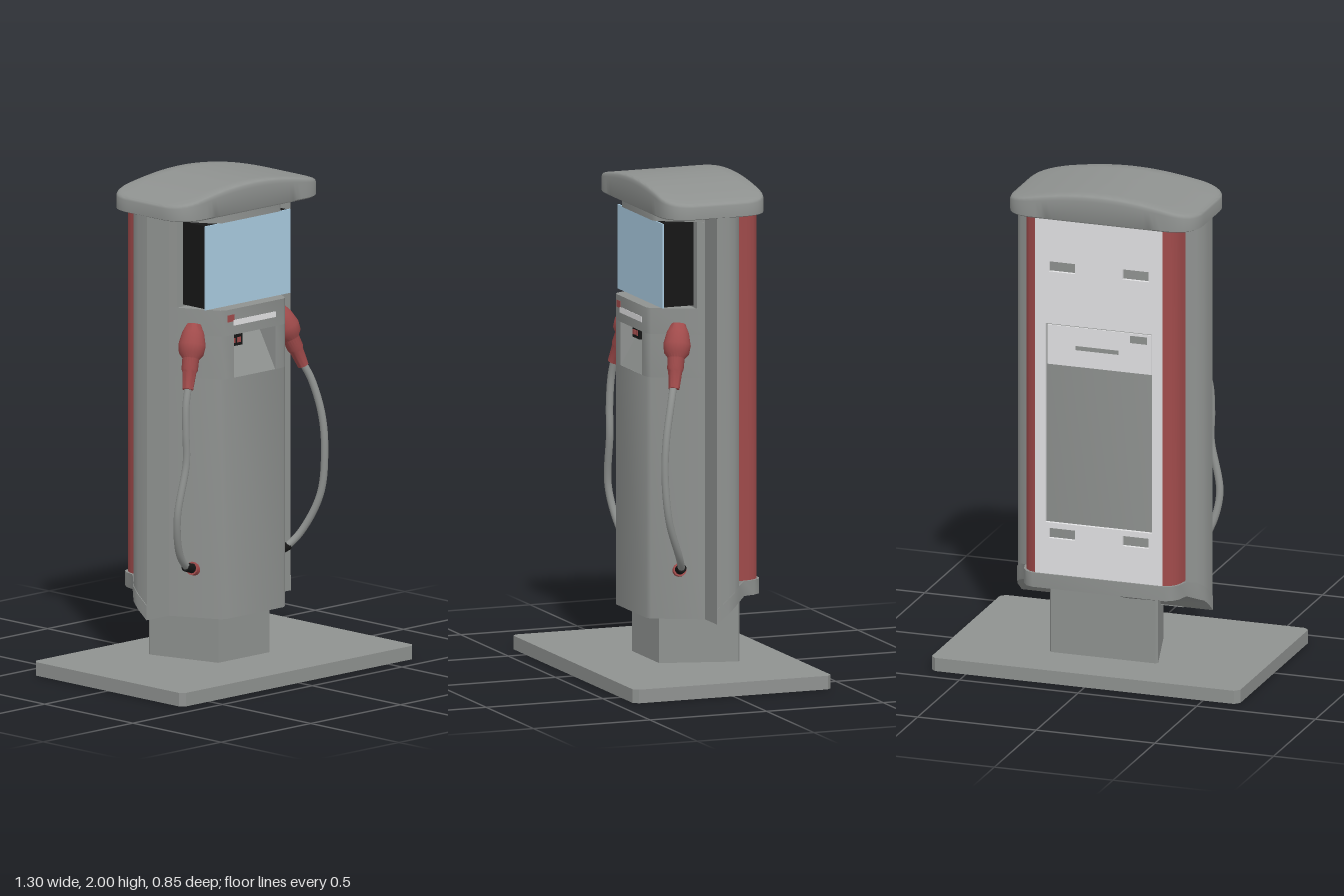
import * as THREE from 'three';
import { toCreasedNormals } from 'three/addons/utils/BufferGeometryUtils.js';

const mat = (name, color) => Object.assign(new THREE.MeshStandardMaterial({ color }), { name });

// Mirror the +x half of an [x, z] outline into a closed loop
const mirror = half => [...half, ...half.slice().reverse().map(([x, z]) => [-x, z])];

// Upright prism over an [x, z] outline
function prism(outline, y0, y1, hole) {
  const pts = o => o.map(([x, z]) => new THREE.Vector2(x, -z));
  const shape = new THREE.Shape(pts(outline));
  if (hole) shape.holes.push(new THREE.Path(pts(hole)));
  const g = new THREE.ExtrudeGeometry(shape, { depth: y1 - y0, bevelEnabled: false });
  g.rotateX(-Math.PI / 2).translate(0, y0, 0);
  return toCreasedNormals(g, 0.6);
}

function rectPath(Type, x0, x1, y0, y1) {
  return new Type([[x0, y0], [x1, y0], [x1, y1], [x0, y1]].map(p => new THREE.Vector2(...p)));
}

const chamferRect = (a, b, c) => mirror([[a - c, b], [a, b - c], [a, c - b], [a - c, -b]]);

export function createModel() {
  const group = new THREE.Group();
  group.name = 'chargingStation';
  const gray = mat('bodyGray', 0x8f9290);
  const red = mat('trimRed', 0xa04b4b);
  const pale = mat('panelPale', 0xe2e2e4);
  const black = mat('black', 0x161616);
  const blue = mat('screenBlue', 0xaacbe0);

  const add = (name, geometry, material) => {
    const m = new THREE.Mesh(geometry, material);
    m.name = name;
    group.add(m);
    return m;
  };
  const box = (name, x0, x1, y0, y1, z0, z1, material) => add(name,
    new THREE.BoxGeometry(x1 - x0, y1 - y0, z1 - z0)
      .translate((x0 + x1) / 2, (y0 + y1) / 2, (z0 + z1) / 2), material);

  // Hollow base: top plate with a deep rim
  const baseOutline = chamferRect(0.65, 0.425, 0.02);
  add('basePlate', prism(baseOutline, 0.042, 0.055), gray);
  add('baseRim', prism(baseOutline, 0, 0.042, chamferRect(0.638, 0.413, 0.015)), gray);

  // Tapering pedestal and its opening in the underside
  const pedestal = mirror([[0.143, 0.113], [0.228, -0.19], [0.22, -0.2]]);
  add('pedestal', prism(pedestal, 0.05, 0.36), gray);
  add('pedestalOpening', prism(pedestal, 0.039, 0.0425), black);

  // Rear body, its lower edge stepping up toward the back
  const bodyHalf = [[0.4, -0.03], [0.4, -0.08], [0.392, -0.11], [0.37, -0.137], [0.328, -0.152],
    [0.315, -0.2], [0.293, -0.23], [0.266, -0.24]];
  const bottomY = z => 0.245 + 0.095 * THREE.MathUtils.clamp((-0.03 - z) / 0.12, 0, 1);
  const slopeBottom = (g, top) => {
    const p = g.attributes.position;
    for (let i = 0; i < p.count; i++) {
      const y = bottomY(p.getZ(i));
      if (p.getY(i) < 0.5) p.setY(i, y);
      else if (!top) p.setY(i, y + 0.06);
    }
    return toCreasedNormals(g, 0.6);
  };
  add('rearBody', slopeBottom(prism(mirror(bodyHalf), 0, 1.895), true), gray);
  const skirtHalf = bodyHalf.map(([x, z]) => z < -0.14 ? [x + 0.012, z - 0.02] : [x + 0.003, z]);
  add('bodySkirt', slopeBottom(prism(mirror(skirtHalf), 0, 1), false), gray);

  // Red rounded rear corners
  const cornerHalf = [[0.331, -0.153], [0.325, -0.195], [0.316, -0.22], [0.297, -0.242],
    [0.266, -0.253], [0.25, -0.153]];
  for (const s of [1, -1]) {
    add('redCornerTrim', prism(cornerHalf.map(([x, z]) => [x * s, z]), 0.4, 1.892), red);
  }

  // Rear service panel with window and four slots
  const panel = rectPath(THREE.Shape, -0.268, 0.268, 0.4, 1.89);
  panel.holes.push(rectPath(THREE.Path, -0.225, 0.225, 0.615, 1.447));
  for (const x of [-0.21, 0.1]) {
    for (const y of [0.55, 1.665]) panel.holes.push(rectPath(THREE.Path, x, x + 0.11, y, y + 0.042));
  }
  add('rearPanel', new THREE.ExtrudeGeometry(panel, { depth: 0.014, bevelEnabled: false })
    .translate(0, 0, -0.254), pale);
  box('rearWindowHeader', -0.22, 0.22, 1.275, 1.44, -0.245, -0.239, pale);
  box('rearWindowLabel', -0.08, 0.1, 1.345, 1.362, -0.247, -0.244, gray);
  box('rearWindowMark', -0.2, -0.13, 1.4, 1.43, -0.247, -0.244, gray);

  // Front housing: plain lower part, notched control bay, part above it
  const front = [[0.16, 0.175], [0.18, 0.163], [0.28, -0.035]];
  const bay = [[0.115, 0.085], [0.115, 0.175]];
  add('frontHousing', prism(mirror(front), 0.245, 1.22), gray);
  add('controlBayWalls', prism(mirror([...bay, ...front]), 1.22, 1.395), gray);
  add('upperHousing', prism(mirror(front), 1.395, 1.5), gray);
  add('screenBackWall', prism(mirror([[0.262, 0], [0.28, -0.035]]), 1.5, 1.85), gray);
  add('screenHood', prism(mirror([[0.16, 0.15], [0.18, 0.138], [0.28, -0.035]]), 1.85, 1.895), gray);

  // Sloped shelf in the control bay
  const wedge = new THREE.Shape([[0.173, 1.22], [0.085, 1.22], [0.085, 1.37]]
    .map(p => new THREE.Vector2(...p)));
  add('controlBayShelf', new THREE.ExtrudeGeometry(wedge, { depth: 0.23, bevelEnabled: false })
    .rotateY(-Math.PI / 2).translate(0.115, 0, 0), gray);

  // Card reader and front markings
  box('cardReader', -0.096, -0.025, 1.335, 1.38, 0.08, 0.13, black);
  for (const x of [-0.076, -0.046]) box('readerButton', x - 0.009, x + 0.009, 1.348, 1.368, 0.128, 0.134, red);
  box('frontStrip', -0.12, 0.115, 1.432, 1.455, 0.171, 0.1765, pale);
  box('frontTag', -0.153, -0.115, 1.45, 1.478, 0.171, 0.1765, red);

  // Screen
  box('screenCase', -0.228, 0.228, 1.508, 1.845, -0.01, 0.132, black);
  box('screen', -0.237, 0.237, 1.506, 1.847, 0.131, 0.137, blue);

  // Arched cap: lathe rings reshaped to a rounded rectangle
  const a = 0.402, b = 0.22, r = 0.125;
  const rim = new THREE.Path();
  rim.moveTo(0, b).lineTo(a - r, b).quadraticCurveTo(a, b, a, b - r)
    .lineTo(a, r - b).quadraticCurveTo(a, -b, a - r, -b)
    .lineTo(r - a, -b).quadraticCurveTo(-a, -b, -a, r - b)
    .lineTo(-a, b - r).quadraticCurveTo(-a, b, r - a, b).lineTo(0, b);
  const ring = rim.getSpacedPoints(96);
  const profile = [[0, 0], [0.985, 0], [1, 0.05], [1, 0.8], [0.992, 0.91], [0.975, 0.97], [0.945, 1],
    [0.75, 1], [0.55, 1], [0.35, 1], [0.15, 1], [0, 1]].map(p => new THREE.Vector2(...p));
  const cap = new THREE.LatheGeometry(profile, 96);
  const cp = cap.attributes.position;
  for (let i = 0; i < cp.count; i++) {
    const o = ring[Math.floor(i / profile.length)], q = profile[i % profile.length];
    const x = o.x * q.x;
    const height = 0.062 + 0.053 * Math.cos(Math.min(1, Math.abs(x) / a) * Math.PI / 2);
    cp.setXYZ(i, x, 1.885 + q.y * height, o.y * q.x - 0.045);
  }
  add('cap', toCreasedNormals(cap, 0.6), gray);

  // Charging plugs, sockets and hoses
  const plugProfile = [[0, 0], [0.028, 0.005], [0.044, 0.04], [0.055, 0.09], [0.05, 0.125], [0.034, 0.145],
    [0.033, 0.19], [0.028, 0.2], [0.022, 0.27], [0, 0.27]].reverse()
    .map(([x, y]) => new THREE.Vector2(x, -y));
  const along = (mesh, from, to) => {
    mesh.position.copy(from);
    mesh.quaternion.setFromUnitVectors(new THREE.Vector3(0, -1, 0), to.clone().sub(from).normalize());
  };
  const hosePaths = [
    [1, [[0.312, 1.22, 0.118], [0.345, 1.14, 0.144], [0.372, 1.0, 0.175], [0.38, 0.86, 0.184],
      [0.375, 0.67, 0.164], [0.325, 0.51, 0.1], [0.27, 0.455, 0.07], [0.22, 0.44, 0.06]]],
    [-1, [[0.312, 1.22, 0.118], [0.335, 1.13, 0.125], [0.34, 1.02, 0.13], [0.338, 0.9, 0.13],
      [0.378, 0.68, 0.12], [0.335, 0.52, 0.09], [0.27, 0.455, 0.07], [0.22, 0.44, 0.06]]],
  ];
  for (const [s, pts] of hosePaths) {
    const side = s > 0 ? 'left' : 'right';
    const path = pts.map(([x, y, z]) => new THREE.Vector3(x * s, y, z));
    const plug = add(side + 'Plug', toCreasedNormals(new THREE.LatheGeometry(plugProfile, 20), 0.7), red);
    along(plug, new THREE.Vector3(0.23 * s, 1.442, 0.065), new THREE.Vector3(0.322 * s, 1.195, 0.122));
    add(side + 'Hose', new THREE.TubeGeometry(new THREE.CatmullRomCurve3(path), 64, 0.015, 12), gray);
    const end = path[path.length - 1], before = path[path.length - 2];
    const cuff = add(side + 'HoseCuff', new THREE.CylinderGeometry(0.021, 0.018, 0.075, 12)
      .translate(0, -0.035, 0), black);
    along(cuff, end, before);
    const socket = add(side + 'HoseSocket', new THREE.CylinderGeometry(0.027, 0.027, 0.028, 12)
      .translate(0, -0.01, 0), red);
    along(socket, end, before);
  }
  return group;
}
